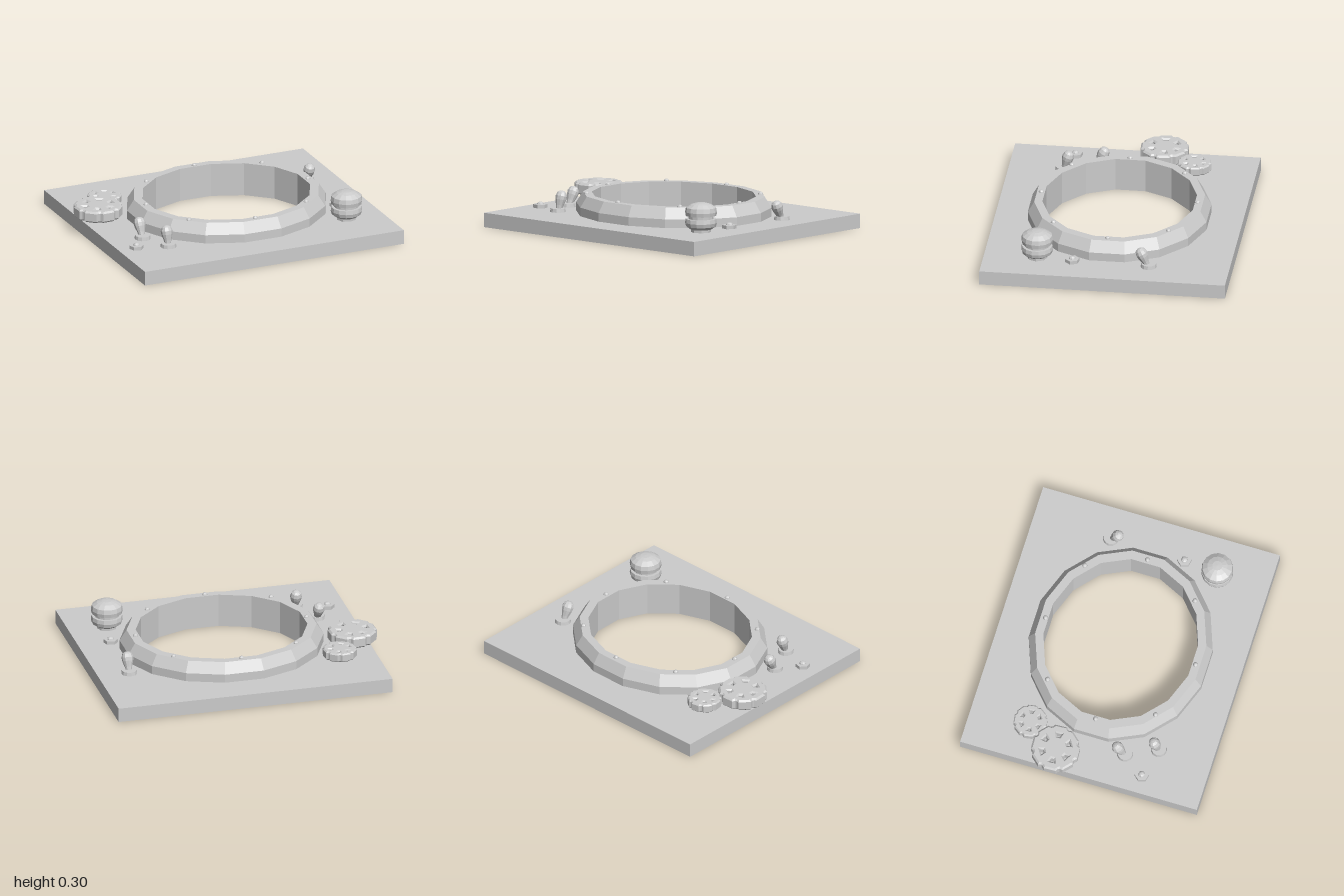
import * as THREE from 'three';

const mat = new THREE.MeshStandardMaterial({ color: 0xcccccc, flatShading: true });
const TOP = 0.1;                       // upper face of the base plate
const CX = 0.045;                      // centre of the opening
const SQUASH = 0.893;                  // opening is slightly shorter in z
const SIDES = 16;

function add(parent, name, geo, x = 0, y = 0, z = 0) {
  const mesh = new THREE.Mesh(geo, mat);
  mesh.name = name;
  mesh.position.set(x, y, z);
  parent.add(mesh);
  return mesh;
}

function group(parent, name, x, y, z) {
  const g = new THREE.Group();
  g.name = name;
  g.position.set(x, y, z);
  parent.add(g);
  return g;
}

function lathe(points, sides, start = 0) {
  return new THREE.LatheGeometry(points.map(p => new THREE.Vector2(...p)), sides, start);
}

// Low dome sitting on y = 0
function dome(r, h) {
  return new THREE.SphereGeometry(r, 8, 3, 0, Math.PI * 2, 0, Math.PI / 2).scale(1, h / r, 1);
}

// Rectangular plate with the faceted oval opening
function plateGeometry() {
  const shape = new THREE.Shape([[-0.945, -0.85], [1, -0.85], [1, 0.85], [-0.945, 0.85]]
    .map(p => new THREE.Vector2(...p)));
  const hole = [];
  for (let i = 0; i < SIDES; i++) {
    const a = (i + 0.5) / SIDES * Math.PI * 2;
    hole.push(new THREE.Vector2(CX + 0.594 * Math.cos(a), 0.594 * SQUASH * Math.sin(a)));
  }
  shape.holes.push(new THREE.Path(hole));
  return new THREE.ExtrudeGeometry(shape, { depth: TOP, bevelEnabled: false }).rotateX(-Math.PI / 2);
}

// Scalloped hand wheel with six trapezoid windows, unit radius
function wheelGeometry(r, h, turn) {
  const polar = (rad, a) => new THREE.Vector2(r * rad * Math.cos(a + turn), r * rad * Math.sin(a + turn));
  const outline = [];
  const lobes = 8;
  for (let i = 0; i < lobes; i++) {
    for (const [f, rad] of [[-0.3, 0.93], [0.3, 0.93], [0.42, 0.86], [0.58, 0.86]]) {
      outline.push(polar(rad, (i + f) / lobes * Math.PI * 2));
    }
  }
  const shape = new THREE.Shape(outline);
  for (let i = 0; i < 6; i++) {
    const a = i / 6 * Math.PI * 2;
    shape.holes.push(new THREE.Path([
      polar(0.43, a - 0.24), polar(0.43, a + 0.24), polar(0.72, a + 0.28), polar(0.72, a - 0.28)]));
  }
  const b = r * 0.07;
  return new THREE.ExtrudeGeometry(shape, {
    depth: h - 2 * b, bevelEnabled: true, bevelThickness: b, bevelSize: b, bevelSegments: 1,
  }).rotateX(-Math.PI / 2).translate(0, b, 0);
}

function addWheel(root, name, x, z, r, bottom, h, turn) {
  const g = group(root, name, x, TOP, z);
  add(g, 'wheelRim', wheelGeometry(r, h, turn), 0, bottom - TOP, 0);
  const stem = bottom - TOP + h * 0.5;
  add(g, 'wheelStem', new THREE.CylinderGeometry(r * 0.3, r * 0.36, stem, 8), 0, stem / 2, 0);
}

// Toggle lever: round washer and a leaning teardrop handle
function addLever(root, x, z, lean) {
  const g = group(root, 'toggleLever', x, TOP, z);
  add(g, 'leverBase', new THREE.CylinderGeometry(0.052, 0.056, 0.025, 12), 0, 0.0125, 0);
  const handle = add(g, 'leverHandle', lathe([
    [0, 0], [0.02, 0], [0.026, 0.03], [0.038, 0.07], [0.041, 0.095], [0.033, 0.12], [0.017, 0.132], [0, 0.135],
  ], 10), 0, 0.012, lean * 0.2);
  handle.rotation.x = Math.atan2(lean, 0.12);
}

// Domed bolt on a hexagonal nut
function addBolt(root, x, z) {
  const g = group(root, 'hexBolt', x, TOP, z);
  add(g, 'boltNut', new THREE.CylinderGeometry(0.05, 0.05, 0.024, 6), 0, 0.012, 0).rotation.y = 0.3;
  add(g, 'boltHead', dome(0.025, 0.018), 0, 0.023, 0);
}

export function createModel() {
  const root = new THREE.Group();
  root.name = 'hatchPanel';

  add(root, 'basePlate', plateGeometry());

  // Raised collar around the opening
  const collar = lathe([[0.706, TOP], [0.706, 0.16], [0.657, 0.235], [0.594, 0.235], [0.594, TOP]],
    SIDES, Math.PI / SIDES);
  add(root, 'collar', collar.scale(1, 1, SQUASH), CX, 0, 0);

  // Rivets on the collar's flat top
  const rivets = [[0.045, -0.54], [0.49, -0.395], [0.655, 0.005], [0.465, 0.405],
    [0.02, 0.545], [-0.41, 0.39], [-0.56, 0.005], [-0.38, -0.395]];
  for (const [x, z] of rivets) add(root, 'rivet', dome(0.019, 0.018), x, 0.234, z);

  // Hand wheels
  addWheel(root, 'largeHandWheel', -0.83, -0.2, 0.168, 0.13, 0.08, 0.05);
  addWheel(root, 'smallHandWheel', -0.682, -0.425, 0.117, 0.118, 0.062, 0.15);

  // Toggle levers
  addLever(root, -0.7, 0.26, -0.06);
  addLever(root, -0.6, 0.472, -0.035);
  addLever(root, 0.778, -0.295, 0.055);

  addBolt(root, -0.815, 0.415);
  addBolt(root, 0.77, 0.235);

  // Grooved push knob with a domed cap
  const knob = group(root, 'pushKnob', 0.732, 0, 0.483);
  add(knob, 'knobFoot', new THREE.CylinderGeometry(0.07, 0.07, 0.03, 8), 0, TOP + 0.015, 0);
  add(knob, 'knobBody', lathe([
    [0, 0.12], [0.075, 0.12], [0.103, 0.14], [0.11, 0.165], [0.106, 0.192], [0.086, 0.192], [0.086, 0.214],
    [0.106, 0.214], [0.11, 0.24], [0.104, 0.27], [0.07, 0.292], [0.035, 0.302], [0, 0.304],
  ], 14), 0, 0, 0);

  return root;
}
